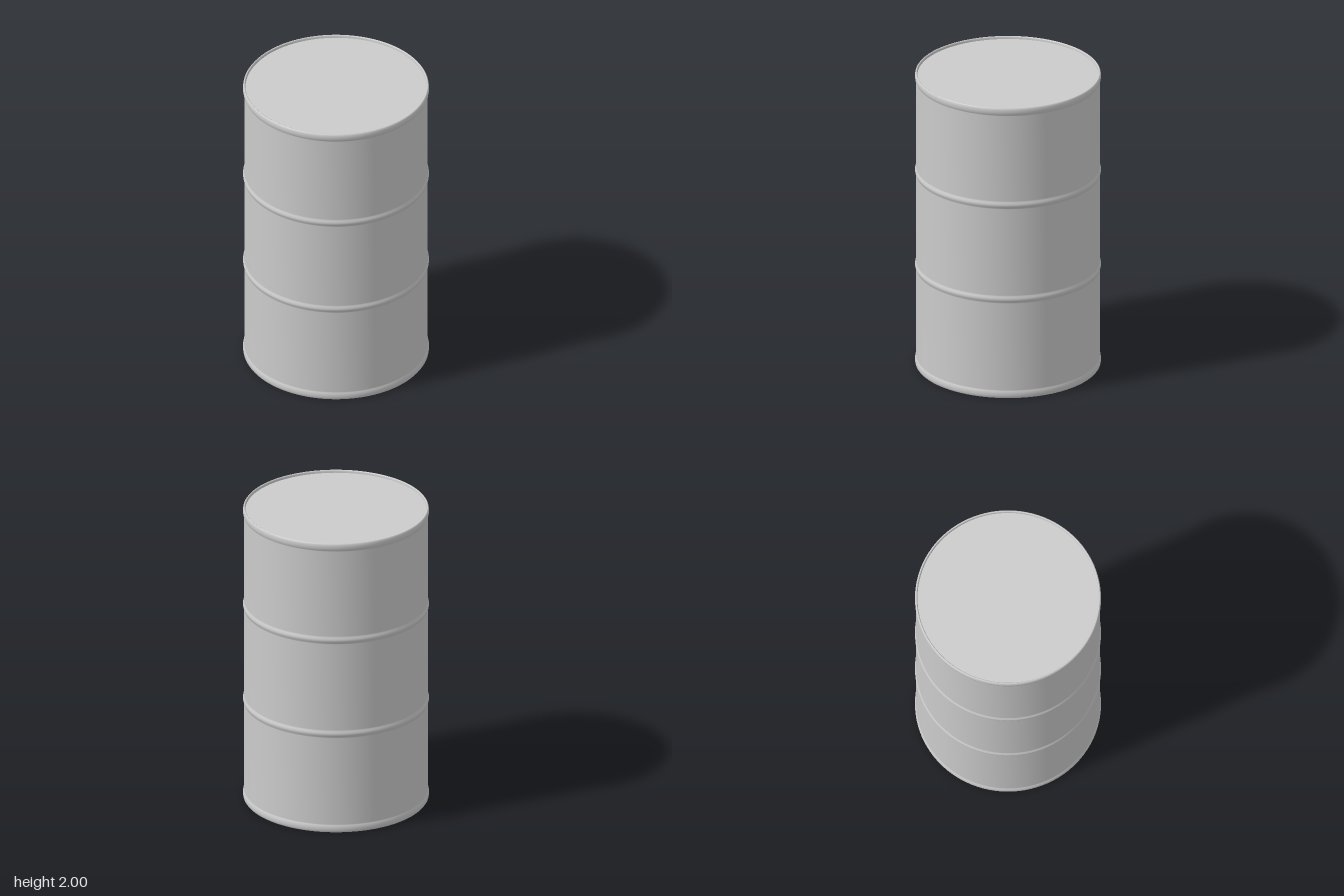
import * as THREE from 'three';

const SEGMENTS = 96;
const BODY_R = 0.582, RIM_R = 0.59, LID_R = 0.574, HEIGHT = 2, RECESS = 0.018;

export function createModel() {
  const group = new THREE.Group();
  group.name = 'drum';
  const material = new THREE.MeshStandardMaterial({ color: 0xcccccc });

  const lathe = (name, points) => {
    const geometry = new THREE.LatheGeometry(points.map(([r, y]) => new THREE.Vector2(r, y)), SEGMENTS);
    const mesh = new THREE.Mesh(geometry, material);
    mesh.name = name;
    group.add(mesh);
  };

  // Rounded swelling of the wall around height y
  const hoop = (y, half) => {
    const points = [];
    for (let i = 0; i <= 10; i++) {
      const t = i / 5 - 1;
      points.push([BODY_R + (RIM_R - BODY_R) * Math.cos(t * Math.PI / 2) ** 1.5, y + t * half]);
    }
    return points;
  };

  // Rolled rim, from the wall over the crest and down to the lid
  const rim = [
    [BODY_R, 1.945], [0.5845, 1.951], [0.588, 1.959], [RIM_R, 1.97], [RIM_R, 1.982],
    [0.588, 1.993], [0.584, 1.999], [0.581, HEIGHT], [0.577, 1.998], [0.575, 1.992], [LID_R, HEIGHT - RECESS],
  ];
  const bottomRim = rim.map(([r, y]) => [r, HEIGHT - y]).reverse();

  // Wall with rims and two hoops
  lathe('wall', [...bottomRim, ...hoop(0.68, 0.028), ...hoop(1.33, 0.028), ...rim]);

  // Flat recessed ends
  lathe('lid', [[LID_R, HEIGHT - RECESS], [0, HEIGHT - RECESS]]);
  lathe('base', [[0, RECESS], [LID_R, RECESS]]);
  return group;
}
